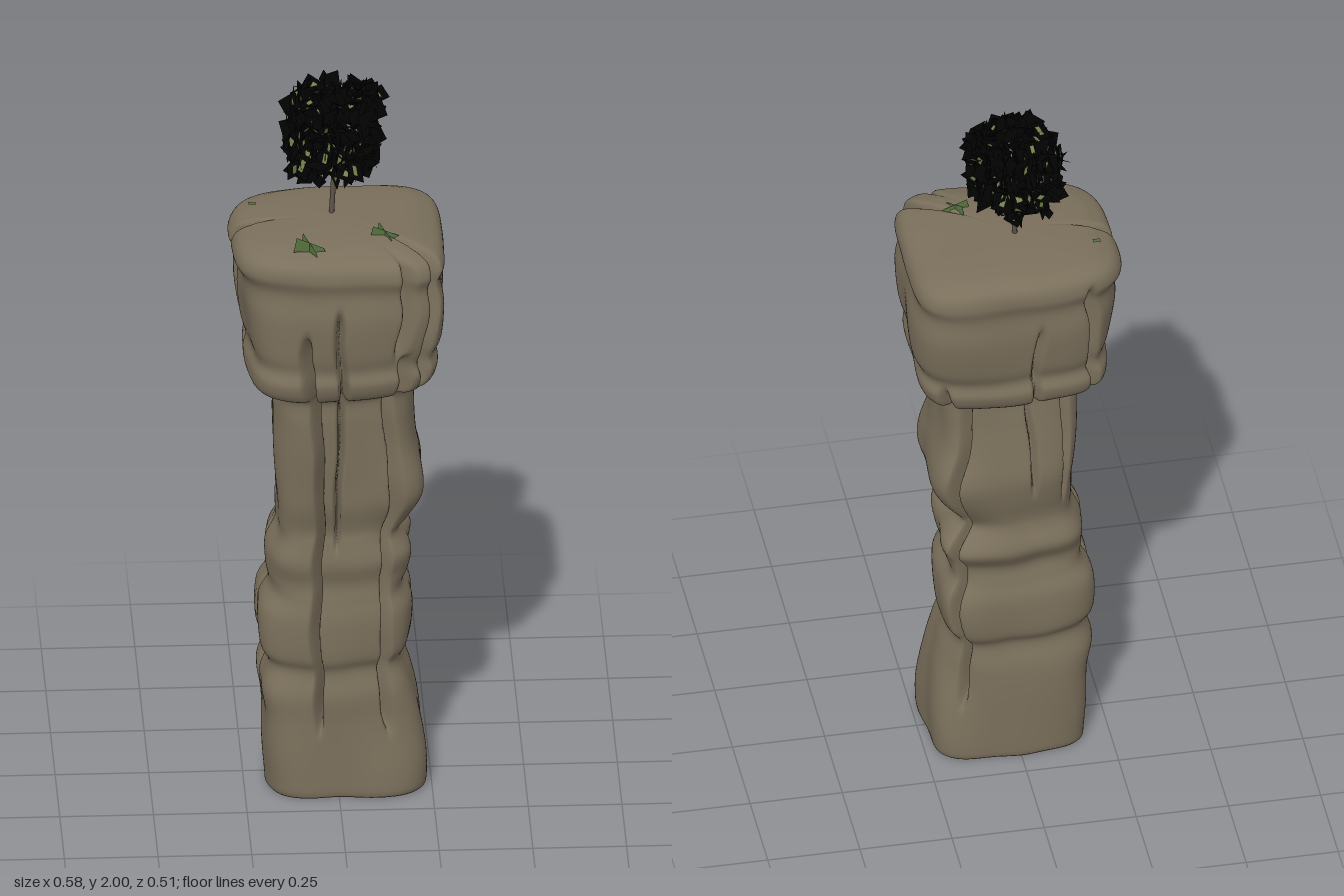
import * as THREE from 'three';
import { mergeGeometries } from 'three/addons/utils/BufferGeometryUtils.js';

const mat = (name, color, side = THREE.FrontSide) =>
  Object.assign(new THREE.MeshStandardMaterial({ color, side }), { name });

let seed = 7;
const rand = () => (seed = (seed * 16807) % 2147483647) / 2147483647;
const spread = (s) => (rand() - 0.5) * 2 * s;
const angleBetween = (a, b) => Math.atan2(Math.sin(a - b), Math.cos(a - b));

// Pillar outline: height, extent to -x, +x, +z, -z
const profile = [
  [0.02, 0.19, 0.23, 0.18, 0.18], [0.12, 0.2, 0.228, 0.175, 0.18], [0.22, 0.2, 0.215, 0.17, 0.18],
  [0.3, 0.21, 0.195, 0.17, 0.175], [0.37, 0.19, 0.175, 0.155, 0.16], [0.42, 0.21, 0.195, 0.17, 0.18],
  [0.52, 0.21, 0.2, 0.17, 0.18], [0.58, 0.18, 0.175, 0.16, 0.162], [0.63, 0.185, 0.19, 0.153, 0.153],
  [0.69, 0.185, 0.195, 0.165, 0.178], [0.75, 0.16, 0.16, 0.157, 0.158], [0.79, 0.16, 0.185, 0.153, 0.155],
  [0.86, 0.16, 0.22, 0.17, 0.17], [0.93, 0.165, 0.22, 0.175, 0.178], [1.02, 0.17, 0.205, 0.18, 0.165],
  [1.12, 0.172, 0.2, 0.18, 0.15], [1.19, 0.18, 0.205, 0.18, 0.15], [1.215, 0.24, 0.25, 0.222, 0.212],
  [1.26, 0.25, 0.265, 0.24, 0.232], [1.3, 0.242, 0.258, 0.232, 0.222], [1.35, 0.255, 0.276, 0.241, 0.236],
  [1.45, 0.268, 0.282, 0.248, 0.246], [1.525, 0.268, 0.272, 0.24, 0.24], [1.57, 0.285, 0.285, 0.25, 0.25],
  [1.61, 0.268, 0.27, 0.235, 0.24], [1.632, 0.22, 0.22, 0.18, 0.205],
];

// Cracks: angle from +x towards +z, bottom, top, depth
const cracks = [
  [1.9, 0.18, 1.42, 0.11], [1.57, 0.72, 1.5, 0.06], [0.88, 0.17, 1.35, 0.09], [0.68, 1.2, 1.7, 0.085],
  [0.96, 1.3, 1.66, 0.04], [3.22, 0.2, 1.68, 0.06], [-0.75, 0.15, 1.3, 0.07], [-2.3, 0.8, 1.6, 0.045],
  [-1.75, 0.85, 1.5, 0.03],
];

// Bulges and hollows: angle, height, angular width, vertical width, amount
const bulges = [
  [2.5, 1.48, 0.5, 0.22, -0.02], [-0.7, 1.48, 0.4, 0.22, 0.015], [0.72, 1.48, 0.35, 0.22, 0.016],
  [-2.4, 1.45, 0.3, 0.25, -0.01], [-0.7, 0.91, 0.4, 0.09, 0.025], [0.7, 0.9, 0.4, 0.09, 0.018],
  [-0.7, 0.48, 0.4, 0.08, 0.01], [-0.7, 0.69, 0.4, 0.04, 0.015], [0.7, 0.05, 0.4, 0.1, 0.012],
  [-0.7, 0.77, 0.5, 0.03, -0.01], [-0.7, 0.25, 0.35, 0.08, -0.012], [-0.75, 0.04, 0.35, 0.08, 0.008],
];

function pillarRadius(t, y, l, r, f, b) {
  const c = Math.cos(t), s = Math.sin(t);
  let rad = ((Math.abs(c) / (c > 0 ? r : l)) ** 4 + (Math.abs(s) / (s > 0 ? f : b)) ** 4) ** -0.25;
  rad += 0.003 * Math.sin(3 * t + y * 7) + 0.003 * Math.sin(7 * t - y * 11);
  for (const [angle, height, dt, dy, amount] of bulges) {
    rad += amount * Math.exp(-((angleBetween(t, angle) / dt) ** 2) - ((y - height) / dy) ** 2);
  }
  for (const [angle, lo, hi, depth] of cracks) {
    const centre = angle + 0.035 * Math.sin(y * 8 + angle * 5) + 0.012 * Math.sin(y * 29);
    const fade = THREE.MathUtils.smoothstep(y, lo, lo + 0.1) * (1 - THREE.MathUtils.smoothstep(y, hi - 0.08, hi));
    rad -= depth * fade * Math.exp(-((angleBetween(t, centre) / 0.036) ** 2));
  }
  return rad;
}

function pillarGeometry() {
  const SEG = 300, ROWS = 140, pos = [], index = [];
  const sides = new THREE.CatmullRomCurve3(profile.map((p) => new THREE.Vector3(p[1], p[0], p[2])), false, 'catmullrom');
  const depths = new THREE.CatmullRomCurve3(profile.map((p) => new THREE.Vector3(p[3], p[0], p[4])), false, 'catmullrom');
  const rows = [];
  for (let i = 0; i <= ROWS; i++) {
    const s = sides.getPoint(i / ROWS), d = depths.getPoint(i / ROWS);
    rows.push([s.y, s.x, s.z, d.x, d.z, 1]);
  }
  // Closing rings under the base and over the domed top
  const first = rows[0].slice(1, 5), last = rows[ROWS].slice(1, 5);
  rows.unshift([0, ...first, 0.001], [0, ...first, 0.5], [0, ...first, 0.97], [0.006, ...first, 0.995]);
  rows.push([1.638, ...last, 0.85], [1.643, ...last, 0.6], [1.646, ...last, 0.3], [1.647, ...last, 0.001]);

  for (const [y, l, r, f, b, scale] of rows) {
    for (let j = 0; j < SEG; j++) {
      const t = (j / SEG) * Math.PI * 2;
      const rad = pillarRadius(t, y, l, r, f, b) * scale;
      // Strata tilt slightly around the pillar
      const sway = 0.01 * Math.sin(2 * t + 1) * THREE.MathUtils.smoothstep(y, 0.1, 0.4) * (1 - THREE.MathUtils.smoothstep(y, 1.45, 1.6));
      pos.push(Math.cos(t) * rad, y + sway, Math.sin(t) * rad);
    }
  }
  for (let i = 0; i < rows.length - 1; i++) {
    for (let j = 0; j < SEG; j++) {
      const a = i * SEG + j, b = i * SEG + ((j + 1) % SEG);
      index.push(a, a + SEG, b, b, a + SEG, b + SEG);
    }
  }
  const g = new THREE.BufferGeometry();
  g.setAttribute('position', new THREE.Float32BufferAttribute(pos, 3));
  g.setIndex(index);
  g.computeVertexNormals();
  return g;
}

const tube = (points, radius) =>
  new THREE.TubeGeometry(new THREE.CatmullRomCurve3(points.map((p) => new THREE.Vector3(...p))), 10, radius, 6);

// Foliage: dark square cards, half of them with a small green leaf on both faces
function foliage() {
  const cards = [], leaves = [], dummy = new THREE.Object3D();
  for (let i = 0; i < 420; i++) {
    const az = rand() * Math.PI * 2, h = spread(1);
    const ring = (1 - 0.3 * h ** 4) * Math.sqrt(rand());
    const size = 0.04 + rand() * 0.025;
    dummy.position.set(
      Math.cos(az) * ring * 0.133 + h * 0.012 - 0.006,
      Math.min(1.88 + h * 0.1, 2 - size * 0.66),
      Math.sin(az) * ring * 0.145 - 0.046 - h * 0.016);
    dummy.rotation.set(spread(1.6), rand() * 6.28, spread(0.6));
    dummy.updateMatrix();
    cards.push(new THREE.PlaneGeometry(size, size).applyMatrix4(dummy.matrix));
    if (i % 2 === 0) {
      for (const z of [-0.001, 0.001]) {
        leaves.push(new THREE.PlaneGeometry(size * 0.24, size * 0.5).translate(0, 0, z).applyMatrix4(dummy.matrix));
      }
    }
  }
  return [mergeGeometries(cards), mergeGeometries(leaves)];
}

// Grass tuft: two crossed upright blades with slanted tops
function tuft(size, height) {
  const shape = new THREE.Shape([[-0.5, 0], [0.5, 0], [0.45, 0.25], [-0.4, 1]].map(([x, y]) => new THREE.Vector2(x * size, y * height)));
  return mergeGeometries([0, -1.08].map((a) => new THREE.ShapeGeometry(shape).rotateY(a)));
}

export function createModel() {
  const rock = mat('rock', 0x7a6f5b);
  const bark = mat('bark', 0x5f5546);
  const dark = mat('dark foliage', 0x020202, THREE.DoubleSide);
  const green = mat('leaf green', 0x71824a, THREE.DoubleSide);
  const grass = mat('grass green', 0x58733f, THREE.DoubleSide);

  const model = new THREE.Group();
  const add = (name, geometry, material, parent = model) => {
    const mesh = new THREE.Mesh(geometry, material);
    mesh.name = name;
    parent.add(mesh);
    return mesh;
  };

  add('rockPillar', pillarGeometry(), rock);

  // Tree
  const tree = new THREE.Group();
  tree.name = 'tree';
  model.add(tree);
  add('trunk', tube([[-0.012, 1.63, -0.025], [-0.008, 1.7, -0.03], [-0.004, 1.78, -0.03], [0, 1.9, -0.04]], 0.007), bark, tree);
  for (let i = 0; i < 5; i++) {
    const a = i * 1.257, x = Math.cos(a), z = Math.sin(a);
    add('branch', tube([[-0.005, 1.76 + i * 0.012, -0.03], [x * 0.04, 1.82, z * 0.04 - 0.035], [x * 0.09, 1.89, z * 0.09 - 0.04]], 0.003), bark, tree);
  }
  const [cards, leaves] = foliage();
  add('foliage', cards, dark, tree);
  add('leaves', leaves, green, tree);

  // Grass on the cap
  for (const [x, z, size, height] of [[-0.08, 0.18, 0.085, 0.042], [0.125, 0.11, 0.08, 0.036]]) {
    add('grassTuft', tuft(size, height), grass).position.set(x, 1.632, z);
  }
  add('grassPatch', new THREE.PlaneGeometry(0.02, 0.014).rotateX(-Math.PI / 2), grass).position.set(-0.22, 1.642, -0.097);
  return model;
}
